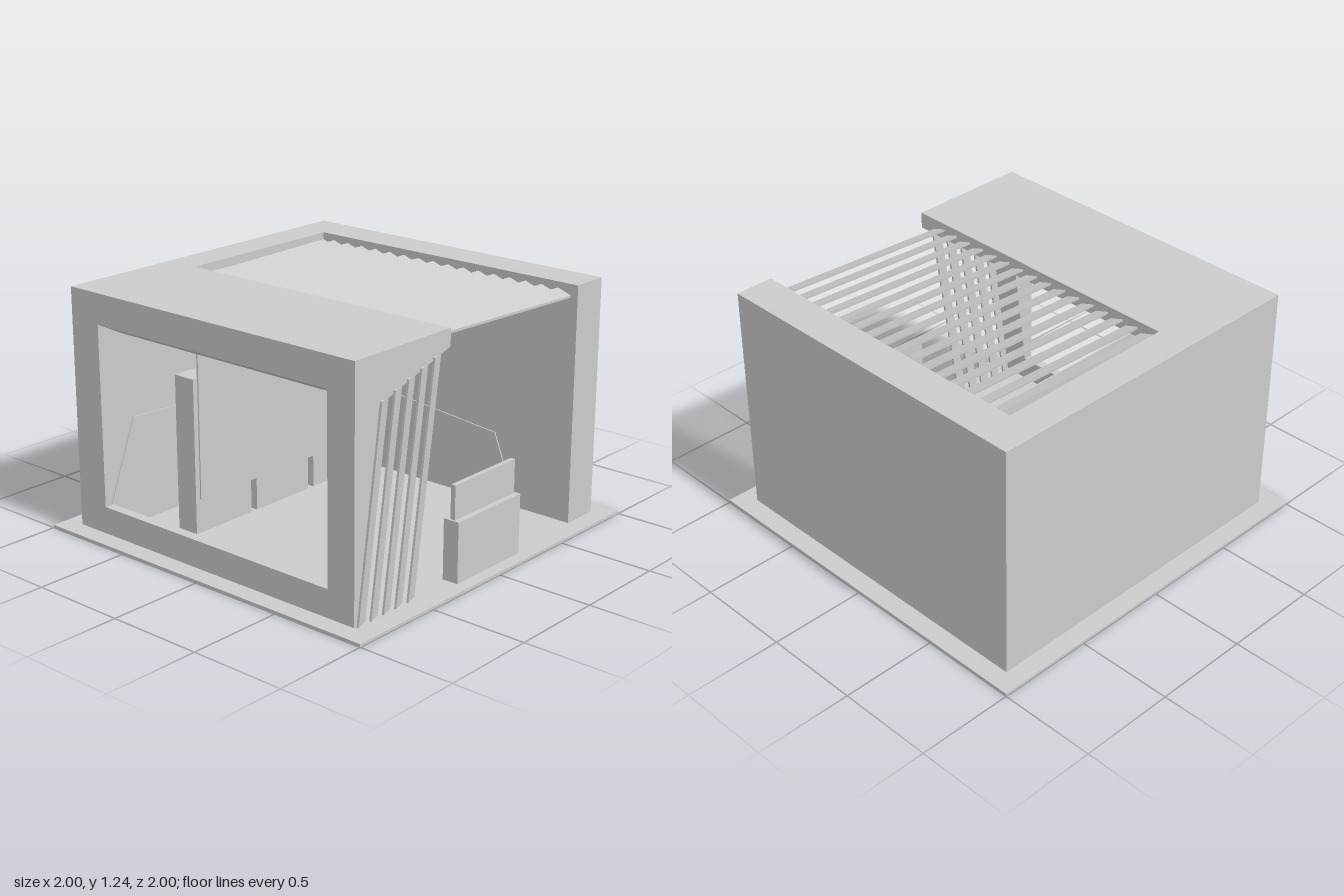
import * as THREE from 'three';

const material = new THREE.MeshStandardMaterial({ color: 0xcccccc });

export function createModel() {
  const model = new THREE.Group();

  const add = (name, geometry) => {
    const mesh = new THREE.Mesh(geometry, material);
    mesh.name = name;
    model.add(mesh);
    return mesh;
  };

  // Box given by its limits on each axis
  const box = (name, [x0, x1], [y0, y1], [z0, z1]) =>
    add(name, new THREE.BoxGeometry(x1 - x0, y1 - y0, z1 - z0)
      .translate((x0 + x1) / 2, (y0 + y1) / 2, (z0 + z1) / 2));

  const extrude = (points, depth) => new THREE.ExtrudeGeometry(
    new THREE.Shape(points.map(([a, b]) => new THREE.Vector2(a, b))),
    { depth, bevelEnabled: false });

  // Profile of [z, y] points, extruded from x0 to x1
  const acrossX = (name, points, x0, x1) =>
    add(name, extrude(points.map(([z, y]) => [-z, y]), x1 - x0)
      .rotateY(Math.PI / 2).translate(x0, 0, 0));

  // Shift each vertex along one axis in proportion to another
  const shear = (geometry, rule) => {
    const p = geometry.attributes.position;
    const v = new THREE.Vector3();
    for (let i = 0; i < p.count; i++) {
      rule(v.fromBufferAttribute(p, i));
      p.setXYZ(i, v.x, v.y, v.z);
    }
    geometry.computeVertexNormals();
    return geometry;
  };

  // Ground slab and solid walls
  box('groundSlab', [-1, 1], [0, 0.015], [-1, 1]);
  box('sideWall', [-0.9, -0.72], [0.005, 1.235], [-0.9, 0.9]);
  box('backWall', [-0.72, 0.9], [0.005, 1.235], [-0.9, -0.7]);

  // Front wall and roof: sloped inside, with a large window opening
  const inner = (y) => 0.87 - 0.13 * y;
  const roof = [[0.9, 1.235], [0.255, 1.235], [0.255, 1.15], [0.74, 1.0]];
  acrossX('frontJamb', [[0.9, 0.005], ...roof, [0.87, 0.005]], 0.725, 0.88);
  acrossX('windowLintelRoof', [[0.9, 1.08], ...roof], -0.72, 0.725);
  acrossX('windowSill',
    [[0.9, 0.005], [0.9, 0.155], [inner(0.155), 0.155], [0.87, 0.005]], -0.72, 0.725);

  // Thin wainscot on the inside of the side and back walls
  acrossX('sideWainscot',
    [[-0.7, 0.015], [-0.7, 0.5], [0.7, 0.57], [0.865, 0.155], [0.865, 0.015]], -0.721, -0.714);
  add('backWainscot', extrude(
    [[-0.72, 0.015], [-0.72, 0.5], [0.44, 0.385], [0.585, 0.015]], 0.008)
    .translate(0, 0, -0.701));

  // Three cabinets in a row with a tall panel on their face
  for (let i = 0; i < 3; i++) {
    const z = 0.615 - i * 0.425;
    box('cabinet', [-0.505, -0.382], [0.015, 0.81], [z - 0.385, z]);
  }
  box('displayPanel', [-0.384, -0.375], [0.19, 0.99], [-0.6, 0.587]);

  // Counter at the open side
  box('counterBase', [0.85, 0.935], [0.015, 0.32], [-0.235, 0.24]);
  box('counterTop', [0.88, 0.905], [0.32, 0.49], [-0.225, 0.23]);

  // Tilted roof louvers, running front to back at a slight angle
  const zBack = -0.705, roofLength = 0.965;
  for (let i = 0; i < 17; i++) {
    const lean = 0.075 - 0.035 * i / 16;
    const right = 0.785 - 0.0931 * i;
    const left = right - 0.075;
    const blade = extrude(
      [[left, 1.193], [right, 1.167], [right, 1.179], [left, 1.205]], roofLength)
      .translate(0, 0, zBack);
    add('roofLouver', shear(blade, (v) => { v.x += lean * (0.26 - v.z) / roofLength; }));
  }

  // Tilted upright louvers on the open side, leaning back to meet the roof
  for (let i = 0; i < 5; i++) {
    const front = 0.89 - 0.0855 * i, rear = front - 0.068;
    const mid = (front + rear) / 2;
    const top = (1 + 0.309 * (0.74 - mid)) / 0.954 + 0.008;
    const blade = extrude(
      [[0.862, -rear], [0.874, -rear], [0.895, -front], [0.883, -front]], top - 0.01)
      .rotateX(-Math.PI / 2).translate(0, 0.01, 0);
    add('sideLouver', shear(blade, (v) => { v.z -= 0.148 * v.y; }));
  }

  return model;
}
